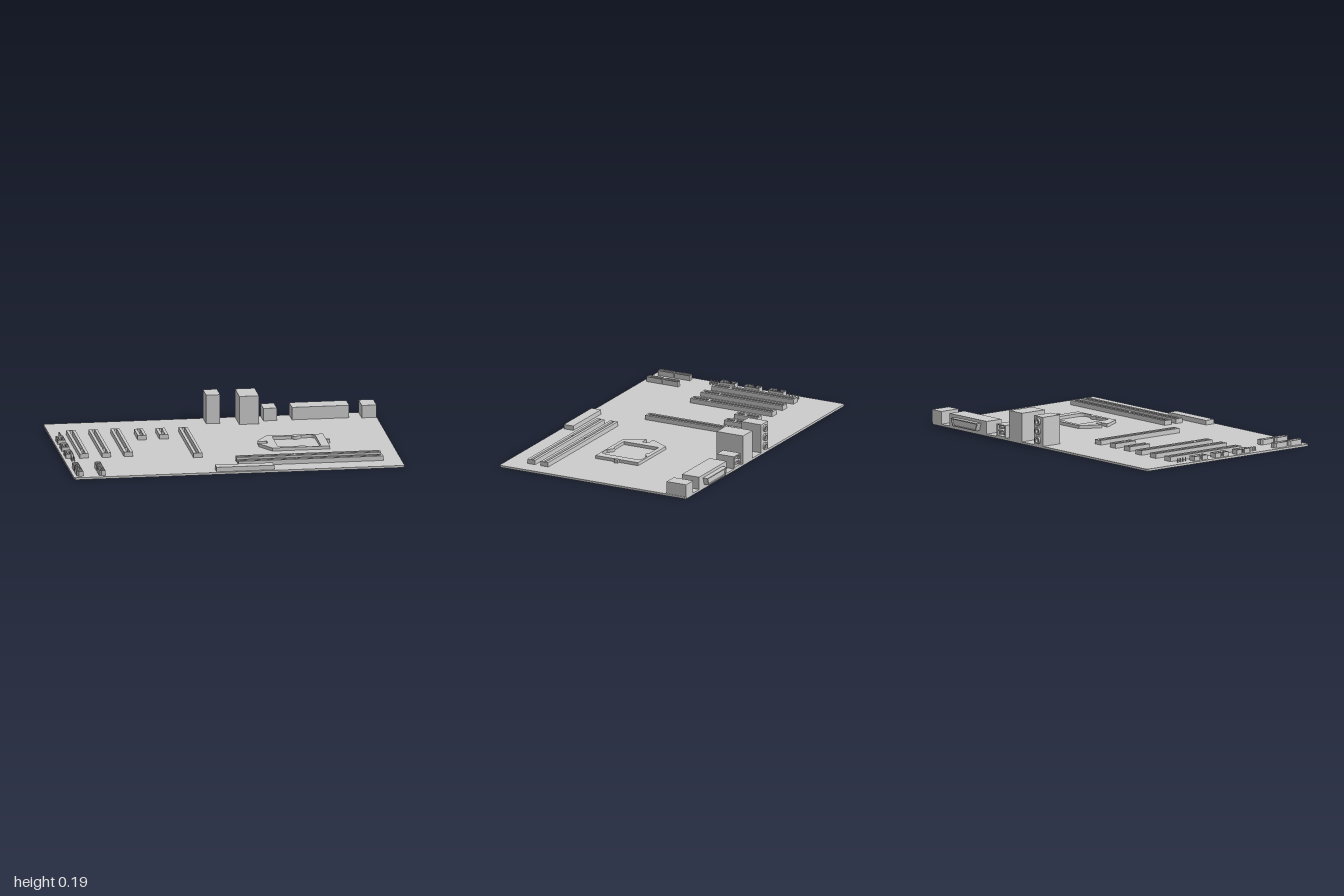
import * as THREE from 'three';

const grey = new THREE.MeshStandardMaterial({ color: 0xcccccc, flatShading: true });
const TOP = 0.013; // top surface of the board

function add(parent, name, geometry) {
  const mesh = new THREE.Mesh(geometry, grey);
  mesh.name = name;
  parent.add(mesh);
  return mesh;
}

// Box given by its limits on each axis
function box(parent, name, x0, x1, y0, y1, z0, z1) {
  const g = new THREE.BoxGeometry(x1 - x0, y1 - y0, z1 - z0);
  g.translate((x0 + x1) / 2, (y0 + y1) / 2, (z0 + z1) / 2);
  return add(parent, name, g);
}

const points = (list) => list.map(([a, b]) => new THREE.Vector2(a, b));
const rect = (a0, a1, b0, b1) => [[a0, b0], [a1, b0], [a1, b1], [a0, b1]];

function outline(list, holes = []) {
  const shape = new THREE.Shape(points(list));
  holes.forEach((h) => shape.holes.push(new THREE.Path(points(h))));
  return shape;
}

// Plan outline in (x, z) raised from y0 to y1
function plate(parent, name, shape, y0, y1) {
  const g = new THREE.ExtrudeGeometry(shape, { depth: y1 - y0, bevelEnabled: false, curveSegments: 6 });
  g.rotateX(Math.PI / 2).translate(0, y1, 0);
  return add(parent, name, g);
}

// Face outline in (x, y) running from z0 to z1
function panel(parent, name, shape, z0, z1) {
  const g = new THREE.ExtrudeGeometry(shape, { depth: z1 - z0, bevelEnabled: false, curveSegments: 12 });
  return add(parent, name, g.translate(0, 0, z0));
}

// Card slot along z, its groove split by a key
function cardSlot(parent, x, z0, z1, key) {
  const w = 0.027, g = 0.009, e = 0.009;
  const cuts = key === null ? [[z0 + e, z1 - e]] : [[z0 + e, key - 0.006], [key + 0.006, z1 - e]];
  const holes = cuts.map(([a, b]) => rect(x - g, x + g, a, b));
  plate(parent, 'cardSlot', outline(rect(x - w, x + w, z0, z1), holes), TOP, 0.041);
}

function pin(parent, x, z, top) {
  box(parent, 'pin', x - 0.003, x + 0.003, TOP, top, z - 0.003, z + 0.003);
}

// Walled header with two rows of pins and a notch in one side
function pinHeader(parent, x, z) {
  const group = new THREE.Group();
  group.name = 'pinHeader';
  const w = 0.023, l = 0.051, t = 0.004;
  plate(group, 'headerWall', outline([
    [-w, -l], [w, -l], [w, l], [-w, l], [-w, 0.01], [-w + t, 0.01],
    [-w + t, l - t], [w - t, l - t], [w - t, -l + t], [-w + t, -l + t], [-w + t, -0.01], [-w, -0.01],
  ]), TOP, 0.041);
  for (const px of [-0.009, 0.009]) for (let i = -2; i <= 2; i++) pin(group, px, i * 0.018, 0.037);
  group.position.set(x, 0, z);
  parent.add(group);
}

// Drive socket: chamfered shell round an L-shaped tongue
function drivePort(parent, x, z) {
  const group = new THREE.Group();
  group.name = 'drivePort';
  const ring = (w, l, c) => [[-w + c, -l], [w, -l], [w, l], [-w + c, l], [-w, l - c], [-w, -l + c]];
  plate(group, 'portShell', outline(ring(0.019, 0.053, 0.012), [ring(0.014, 0.047, 0.009)]), TOP, 0.044);
  plate(group, 'portTongue', outline([
    [-0.003, -0.036], [0.009, -0.036], [0.009, -0.029], [0.004, -0.029], [0.004, 0.036], [-0.003, 0.036],
  ]), TOP, 0.04);
  group.position.set(x, 0, z);
  parent.add(group);
}

function createModel() {
  const model = new THREE.Group();
  model.name = 'mainboard';

  // Board with slightly cut corners
  const c = 0.008;
  plate(model, 'board', outline([
    [-1 + c, -0.622], [1 - c, -0.622], [1, -0.622 + c], [1, 0.648 - c],
    [1 - c, 0.648], [-1 + c, 0.648], [-1, 0.648 - c], [-1, -0.622 + c],
  ]), 0, TOP);

  // Expansion slots
  for (const x of [-0.874, -0.739, -0.606]) cardSlot(model, x, -0.355, 0.202, 0.086);
  for (const x of [-0.468, -0.337]) cardSlot(model, x, -0.33, -0.172, -0.237);
  cardSlot(model, -0.198, -0.328, 0.288, null);

  // Memory slots
  for (const z of [0.4, 0.489]) {
    const holes = [[0.022, 0.367], [0.375, 0.882]].map(([a, b]) => rect(a, b, z - 0.007, z + 0.007));
    plate(model, 'memorySlot', outline(rect(0.015, 0.891, z - 0.026, z + 0.026), holes), TOP, 0.041);
  }
  box(model, 'powerConnector', -0.136, 0.213, TOP, 0.041, 0.57, 0.634);

  // Processor frame with its shaped window
  const frame = outline([
    [0.265, -0.088], [0.614, -0.088], [0.614, 0.043], [0.634, 0.043], [0.634, 0.065], [0.614, 0.065],
    [0.614, 0.202], [0.265, 0.202], [0.2, 0.09], [0.2, 0.077], [0.255, 0.077], [0.255, 0.038],
    [0.2, 0.038], [0.2, 0.024],
  ]);
  const win = new THREE.Path();
  win.moveTo(0.303, -0.061).lineTo(0.42, -0.061);
  win.quadraticCurveTo(0.433, -0.048, 0.45, -0.05).quadraticCurveTo(0.468, -0.054, 0.48, -0.077);
  win.lineTo(0.54, -0.077).quadraticCurveTo(0.562, -0.07, 0.562, -0.035);
  win.lineTo(0.562, 0.15).quadraticCurveTo(0.562, 0.187, 0.54, 0.195);
  win.lineTo(0.48, 0.195).quadraticCurveTo(0.468, 0.17, 0.45, 0.167);
  win.quadraticCurveTo(0.433, 0.165, 0.42, 0.177).lineTo(0.303, 0.177).lineTo(0.303, -0.061);
  frame.holes.push(win);
  plate(model, 'processorFrame', frame, TOP, 0.032);
  box(model, 'frameLatch', 0.614, 0.634, TOP, 0.035, 0.043, 0.065);

  // Headers, loose pins and drive ports along the side
  for (const z of [-0.185, -0.02, 0.147]) pinHeader(model, -0.961, z);
  for (let i = 0; i < 4; i++) pin(model, -0.946, -0.335 + i * 0.02, 0.037);
  for (const x of [-0.957, -0.943]) for (let i = 0; i < 3; i++) pin(model, x, 0.222 + i * 0.02, 0.037);
  for (const z of [0.453, 0.565]) drivePort(model, -0.96, z);
  for (const z of [0.46, 0.57]) drivePort(model, -0.826, z);

  // Audio block with three round jacks
  box(model, 'audioBlock', -0.034, 0.051, TOP, 0.19, -0.622, -0.489);
  for (const y of [0.045, 0.102, 0.158]) {
    const ring = new THREE.Shape().absarc(0.009, y, 0.022, 0, Math.PI * 2);
    ring.holes.push(new THREE.Path().absarc(0.009, y, 0.012, 0, Math.PI * 2, true));
    panel(model, 'audioJack', ring, -0.634, -0.622);
  }

  // Tall port block
  box(model, 'networkBlock', 0.16, 0.279, TOP, 0.187, -0.622, -0.442);

  // Stacked pair of open ports with tongues
  panel(model, 'stackedPortShell', outline(rect(0.315, 0.396, TOP, 0.09), [
    rect(0.322, 0.389, 0.02, 0.047), rect(0.322, 0.389, 0.055, 0.083),
  ]), -0.622, -0.53);
  box(model, 'stackedPortBack', 0.315, 0.396, TOP, 0.09, -0.53, -0.505);
  for (const y of [0.034, 0.07]) box(model, 'portTongue', 0.33, 0.381, y - 0.005, y + 0.005, -0.615, -0.53);

  // Wide block with a hollow tapered plug collar
  box(model, 'wideBlock', 0.488, 0.834, TOP, 0.09, -0.622, -0.505);
  panel(model, 'plugCollar', outline(
    [[0.555, 0.025], [0.77, 0.025], [0.786, 0.072], [0.539, 0.072]],
    [[[0.561, 0.031], [0.764, 0.031], [0.777, 0.066], [0.548, 0.066]]],
  ), -0.653, -0.622);
  panel(model, 'plugCore', outline([[0.561, 0.031], [0.764, 0.031], [0.777, 0.066], [0.548, 0.066]]), -0.645, -0.622);

  // Corner port block
  box(model, 'cornerBlock', 0.908, 0.997, TOP, 0.09, -0.622, -0.489);

  return model;
}

export { createModel };
